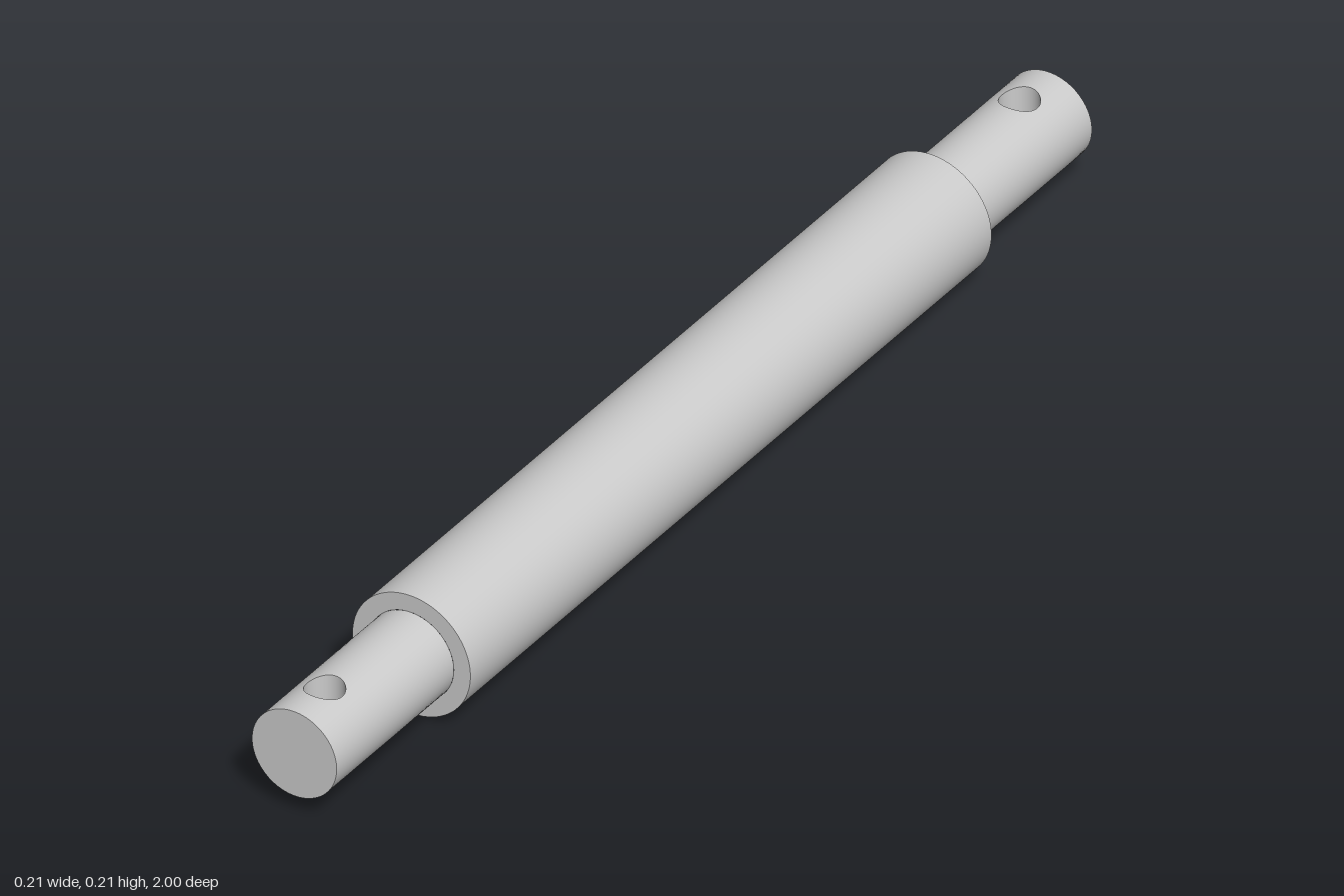
import * as THREE from 'three';

const BODY_R = 0.103, PIN_R = 0.074, HOLE_R = 0.031;
const BODY_Z = 0.69, END_Z = 1, HOLE_Z = 0.92;
const SIDE = 24, AROUND = SIDE * 4, RINGS = 16;

// Half of the pin's skin: rings that blend from the round hole out to the patch border
function pinSkin() {
  const pos = [], nor = [], idx = [];
  for (let j = 0; j <= RINGS; j++) {
    const t = j / RINGS;
    for (let i = 0; i <= AROUND; i++) {
      // border point on a square, walked evenly from the corner (-1, -1)
      const s = (i % SIDE) / SIDE * 2 - 1;
      const [u, v] = [[s, -1], [1, s], [-s, 1], [-1, -s]][Math.floor(i / SIDE) % 4];
      const borderZ = v > 0 ? HOLE_Z + v * (END_Z - HOLE_Z) : HOLE_Z + v * (HOLE_Z - BODY_Z);
      // matching point on the hole's rim
      const a = i / AROUND * Math.PI * 2 - Math.PI * 0.75;
      const rimAngle = Math.asin(HOLE_R * Math.cos(a) / PIN_R);
      const rimZ = HOLE_Z + HOLE_R * Math.sin(a);
      const angle = THREE.MathUtils.lerp(rimAngle, u * Math.PI / 2, t);
      const nx = Math.sin(angle), ny = Math.cos(angle);
      pos.push(PIN_R * nx, PIN_R * ny, THREE.MathUtils.lerp(rimZ, borderZ, t));
      nor.push(nx, ny, 0);
      if (j < RINGS && i < AROUND) {
        const p = j * (AROUND + 1) + i, q = p + AROUND + 1;
        idx.push(p, p + 1, q, p + 1, q + 1, q);
      }
    }
  }
  const g = new THREE.BufferGeometry();
  g.setAttribute('position', new THREE.Float32BufferAttribute(pos, 3));
  g.setAttribute('normal', new THREE.Float32BufferAttribute(nor, 3));
  g.setIndex(idx);
  return g;
}

// Wall of the cross hole, its ends bent to follow the pin's surface
function holeWall() {
  const g = new THREE.CylinderGeometry(HOLE_R, HOLE_R, 1, AROUND, 1, true);
  const p = g.attributes.position;
  for (let i = 0; i < p.count; i++) {
    p.setY(i, Math.sign(p.getY(i)) * Math.sqrt(PIN_R ** 2 - p.getX(i) ** 2));
  }
  return g.translate(0, 0, HOLE_Z);
}

export function createModel() {
  const model = new THREE.Group();
  model.name = 'steppedShaft';
  const steel = new THREE.MeshStandardMaterial({ color: 0xcccccc });
  const inner = new THREE.MeshStandardMaterial({ color: 0xcccccc, side: THREE.DoubleSide });

  const add = (parent, name, geometry, material = steel) => {
    const mesh = new THREE.Mesh(geometry, material);
    mesh.name = name;
    parent.add(mesh);
    return mesh;
  };

  // Thick middle section
  const body = new THREE.CylinderGeometry(BODY_R, BODY_R, BODY_Z * 2, 96, 1, true);
  add(model, 'body', body.rotateX(Math.PI / 2));

  // Narrow drilled pin and shoulder at each end
  const skin = pinSkin(), wall = holeWall();
  const shoulder = new THREE.RingGeometry(PIN_R, BODY_R, 96).translate(0, 0, BODY_Z);
  const cap = new THREE.CircleGeometry(PIN_R, SIDE * 2).translate(0, 0, END_Z);
  for (const name of ['frontPin', 'backPin']) {
    const pin = new THREE.Group();
    pin.name = name;
    pin.rotation.y = name === 'backPin' ? Math.PI : 0;
    add(pin, 'shoulder', shoulder);
    add(pin, 'upperSkin', skin);
    add(pin, 'lowerSkin', skin).rotation.z = Math.PI;
    add(pin, 'endFace', cap);
    add(pin, 'crossHole', wall, inner);
    model.add(pin);
  }

  // Rest the shaft on the ground
  for (const part of model.children) part.position.y = BODY_R;
  return model;
}
